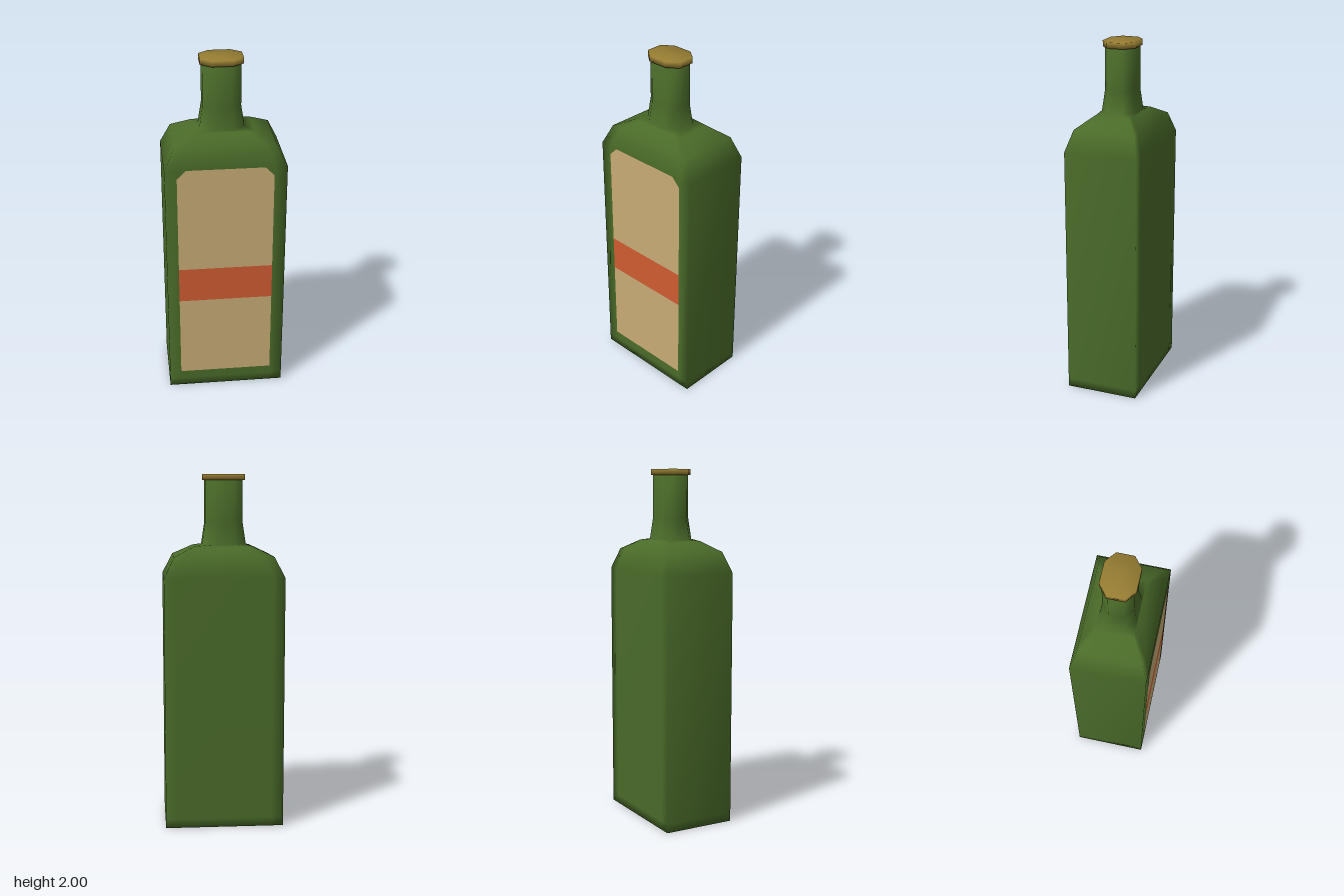
import * as THREE from 'three';

// Eight-point ring: half width w, half depth d, inner x (ix) and side z (sz), shifted by cx
function ring(y, w, d, ix, sz, cx = 0) {
  const half = [[w, sz], [ix, d], [-ix, d], [-w, sz]];
  const back = half.map(([x, z]) => [-x, -z]);
  return [...half, ...back].map(([x, z]) => [x + cx, y, z]);
}
const box = (y, w, d) => ring(y, w, d, w * 0.8, d);
const octagon = (y, w, d) => ring(y, w, d, w / 2, d / 2, -0.007);

// Closed, smooth skin through a stack of rings
function loft(rings, color, name) {
  const n = 8, last = (rings.length - 1) * n;
  const pos = rings.flat(2), idx = [];
  const bottom = rings.length * n, top = bottom + 1;
  pos.push(0, rings[0][0][1], 0, 0, rings[rings.length - 1][0][1], 0);
  for (let i = 0; i < n; i++) {
    const j = (i + 1) % n;
    for (let r = 0; r < last; r += n) {
      idx.push(r + j, r + i, r + n + i, r + j, r + n + i, r + n + j);
    }
    idx.push(bottom, i, j, top, last + j, last + i);
  }
  const geo = new THREE.BufferGeometry();
  geo.setAttribute('position', new THREE.Float32BufferAttribute(pos, 3));
  geo.setIndex(idx);
  geo.computeVertexNormals();
  return mesh(geo, color, name);
}

function mesh(geo, color, name) {
  const m = new THREE.Mesh(geo, new THREE.MeshStandardMaterial({ color }));
  m.name = name;
  return m;
}

// Flat label panel on the front, with optional clipped top corners
function panel(y0, y1, clip, color, name) {
  const l = -0.27, r = 0.265;
  const pts = [[l, y0], [r, y0], [r, y1 - clip], [r - clip, y1], [l + clip, y1], [l, y1 - clip]];
  const shape = new THREE.Shape(pts.map(([x, y]) => new THREE.Vector2(x, y)));
  const m = mesh(new THREE.ShapeGeometry(shape), color, name);
  m.position.z = 0.211;
  m.material.side = THREE.DoubleSide;
  return m;
}

export function createModel() {
  const model = new THREE.Group();
  model.name = 'bottle';

  // Glass: rectangular body, sloping shoulders, octagonal neck
  model.add(loft([
    box(0, 0.337, 0.208),
    box(0.05, 0.337, 0.208),
    box(1.43, 0.337, 0.208),
    box(1.545, 0.28, 0.175),
    box(1.6, 0.165, 0.105),
    octagon(1.61, 0.124, 0.1),
    octagon(1.73, 0.106, 0.084),
    octagon(1.97, 0.106, 0.084),
  ], 0x4a6b29, 'glass'));

  // Cap
  model.add(loft([
    octagon(1.967, 0.118, 0.094),
    octagon(2, 0.118, 0.094),
  ], 0x957c32, 'cap'));

  // Label in three bands
  model.add(panel(0.1, 0.6, 0, 0xc8ab76, 'labelLower'));
  model.add(panel(0.6, 0.81, 0, 0xd05c32, 'labelStripe'));
  model.add(panel(0.81, 1.43, 0.05, 0xc8ab76, 'labelUpper'));
  return model;
}
